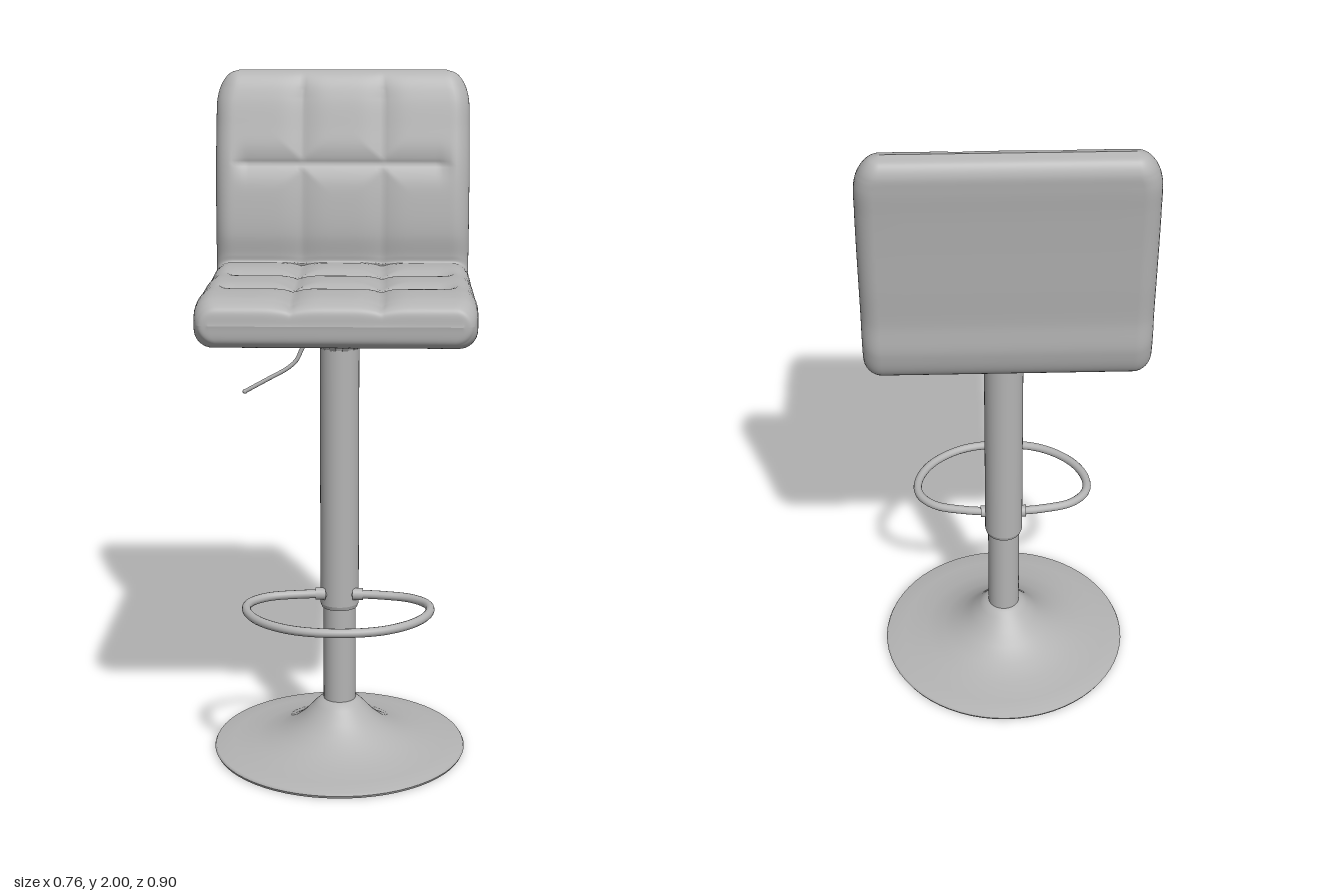
import * as THREE from 'three';

const grey = new THREE.MeshStandardMaterial({ color: 0xb4b4b4 });
grey.name = 'grey';

function add(group, name, geometry, x = 0, y = 0, z = 0) {
  const mesh = new THREE.Mesh(geometry, grey);
  mesh.name = name;
  mesh.position.set(x, y, z);
  group.add(mesh);
  return mesh;
}

const tube = (points, radius, segments) => new THREE.TubeGeometry(
  new THREE.CatmullRomCurve3(points.map(p => new THREE.Vector3(...p))), segments, radius, 12);

// Cushion stations from seat front to backrest top:
// half width, inner z, inner y, outer z, outer y
const stations = [
  [0.335, 0.450, 1.380, 0.450, 1.380],
  [0.362, 0.440, 1.425, 0.443, 1.335],
  [0.375, 0.400, 1.443, 0.420, 1.318],
  [0.380, 0.320, 1.450, 0.320, 1.310],
  [0.380, 0.190, 1.446, 0.190, 1.302],
  [0.380, 0.060, 1.446, 0.060, 1.297],
  [0.380, -0.065, 1.440, -0.065, 1.292],
  [0.380, -0.170, 1.444, -0.190, 1.288],
  [0.380, -0.250, 1.440, -0.305, 1.292],
  [0.380, -0.270, 1.440, -0.375, 1.325],
  [0.380, -0.270, 1.460, -0.403, 1.400],
  [0.380, -0.264, 1.520, -0.405, 1.500],
  [0.380, -0.271, 1.620, -0.415, 1.610],
  [0.380, -0.288, 1.730, -0.425, 1.730],
  [0.379, -0.312, 1.830, -0.436, 1.840],
  [0.376, -0.335, 1.920, -0.445, 1.920],
  [0.362, -0.353, 1.965, -0.446, 1.960],
  [0.340, -0.373, 1.990, -0.432, 1.988],
  [0.310, -0.402, 2.000, -0.402, 2.000],
];

// Sharp stitch line inside a soft dip
const groove = u => 0.010 * Math.exp(-Math.abs(u) / 0.010) + 0.010 * Math.exp(-((u / 0.04) ** 2));

function cushionGeometry() {
  const inner = new THREE.CatmullRomCurve3(stations.map(s => new THREE.Vector3(s[0], s[2], s[1])));
  const outer = new THREE.CatmullRomCurve3(stations.map(s => new THREE.Vector3(s[0], s[4], s[3])));
  const last = stations.length - 1, rows = last * 12;
  const nTop = 64, nArc = 8, nBottom = 10;
  const positions = [], index = [];
  let ring = 0;

  for (let i = 0; i <= rows; i++) {
    const a = inner.getPoint(i / rows), b = outer.getPoint(i / rows);
    const s = i / rows * last;
    const w = a.x;
    const mid = new THREE.Vector3(0, (a.y + b.y) / 2, (a.z + b.z) / 2);
    const dir = new THREE.Vector3(0, a.y - b.y, a.z - b.z);
    const h = dir.length() / 2;
    if (h > 1e-6) dir.normalize();
    const r = Math.min(0.05, h), flat = w - r;
    const onSeat = s < 9;
    // Fade the quilting at the free ends and in the inner corner
    const fade = Math.min(1, s / 2, (last - s) / 3);
    const across = onSeat
      ? Math.max(groove(a.z - 0.19), groove(a.z + 0.065))
      : groove(a.y - 1.73) * 0.8;
    const pts = [];
    for (let k = 0; k <= nTop; k++) {
      const x = flat * (2 * k / nTop - 1);
      const along = groove(Math.abs(x) - 0.12) * (onSeat ? 1 : 0.6);
      const edge = Math.min(1, (flat - Math.abs(x)) / 0.04);
      pts.push([x, h - Math.max(across, along) * fade * edge]);
    }
    for (let k = 1; k <= nArc; k++) {
      const t = Math.PI / 2 - Math.PI / 2 * k / nArc;
      pts.push([flat + r * Math.cos(t), h - r + r * Math.sin(t)]);
    }
    for (let k = 0; k <= nArc; k++) {
      const t = -Math.PI / 2 * k / nArc;
      pts.push([flat + r * Math.cos(t), r - h + r * Math.sin(t)]);
    }
    for (let k = 1; k < nBottom; k++) pts.push([flat * (1 - 2 * k / nBottom), -h]);
    for (let k = 0; k <= nArc; k++) {
      const t = -Math.PI / 2 - Math.PI / 2 * k / nArc;
      pts.push([-flat + r * Math.cos(t), r - h + r * Math.sin(t)]);
    }
    for (let k = 0; k < nArc; k++) {
      const t = Math.PI - Math.PI / 2 * k / nArc;
      pts.push([-flat + r * Math.cos(t), h - r + r * Math.sin(t)]);
    }
    ring = pts.length;
    for (const [x, t] of pts) positions.push(x, mid.y + dir.y * t, mid.z + dir.z * t);
  }
  for (let i = 0; i < rows; i++) {
    for (let j = 0; j < ring; j++) {
      const a = i * ring + j, b = i * ring + (j + 1) % ring;
      index.push(a, b, a + ring, b, b + ring, a + ring);
    }
  }
  const geometry = new THREE.BufferGeometry();
  geometry.setAttribute('position', new THREE.Float32BufferAttribute(positions, 3));
  geometry.setIndex(index);
  geometry.computeVertexNormals();
  return geometry;
}

export function createModel() {
  const group = new THREE.Group();
  group.name = 'barStool';

  // Trumpet base with a flat underside
  const profile = [[0.378, 0.008], [0.374, 0.016], [0.32, 0.021], [0.25, 0.031], [0.19, 0.048],
    [0.14, 0.075], [0.105, 0.105], [0.075, 0.138], [0.06, 0.152], [0.046, 0.157]];
  add(group, 'base', new THREE.LatheGeometry(profile.map(p => new THREE.Vector2(...p)), 64));
  add(group, 'baseUnderside', new THREE.CylinderGeometry(0.378, 0.374, 0.008, 64), 0, 0.004, 0);

  // Telescopic column
  add(group, 'lowerColumn', new THREE.CylinderGeometry(0.048, 0.048, 0.32, 40), 0, 0.30, 0);
  add(group, 'upperColumn', new THREE.CylinderGeometry(0.057, 0.057, 0.78, 40), 0, 0.85, 0);
  add(group, 'columnCollar', new THREE.CylinderGeometry(0.057, 0.053, 0.012, 40), 0, 0.454, 0);

  // Footrest loop
  const half = [[0.03, 0.03], [0.12, 0.04], [0.21, 0.065], [0.258, 0.115], [0.264, 0.18],
    [0.225, 0.265], [0.13, 0.338]];
  const loop = [...half, [0, 0.362], ...half.map(([x, z]) => [-x, z]).reverse()];
  add(group, 'footrest', tube(loop.map(([x, z]) => [x, 0.495, z]), 0.013, 120));
  for (const side of [1, -1]) {
    const boss = add(group, 'footrestSocket', new THREE.CylinderGeometry(0.018, 0.018, 0.03, 20), side * 0.055, 0.495, 0.032);
    boss.rotation.z = Math.PI / 2;
  }

  // Ribbed swivel bracket and mounting plate
  add(group, 'bracketCore', new THREE.CylinderGeometry(0.06, 0.046, 0.06, 32), 0, 1.26, 0);
  add(group, 'bracketLowerRing', new THREE.CylinderGeometry(0.062, 0.056, 0.014, 32), 0, 1.24, 0);
  add(group, 'bracketUpperRing', new THREE.CylinderGeometry(0.094, 0.086, 0.012, 32), 0, 1.278, 0);
  const ribShape = new THREE.Shape([[0.03, -0.028], [0.056, -0.028], [0.088, 0.022], [0.03, 0.022]]
    .map(p => new THREE.Vector2(...p)));
  const ribGeometry = new THREE.ExtrudeGeometry(ribShape, { depth: 0.018, bevelEnabled: false });
  ribGeometry.translate(0, 0, -0.009);
  for (let i = 0; i < 10; i++) {
    add(group, 'bracketRib', ribGeometry, 0, 1.26, 0).rotation.y = i * Math.PI / 5;
  }
  add(group, 'mountingPlate', new THREE.BoxGeometry(0.27, 0.016, 0.27), 0, 1.291, 0);

  // Height lever on the right
  add(group, 'lever', tube([[-0.04, 1.272, 0], [-0.08, 1.262, 0], [-0.105, 1.235, 0],
    [-0.125, 1.195, 0], [-0.15, 1.172, 0], [-0.21, 1.138, 0], [-0.275, 1.102, 0]], 0.006, 48));
  add(group, 'leverTip', new THREE.SphereGeometry(0.007, 12, 8), -0.275, 1.102, 0);

  // One-piece quilted seat and backrest
  add(group, 'cushion', cushionGeometry());
  return group;
}
